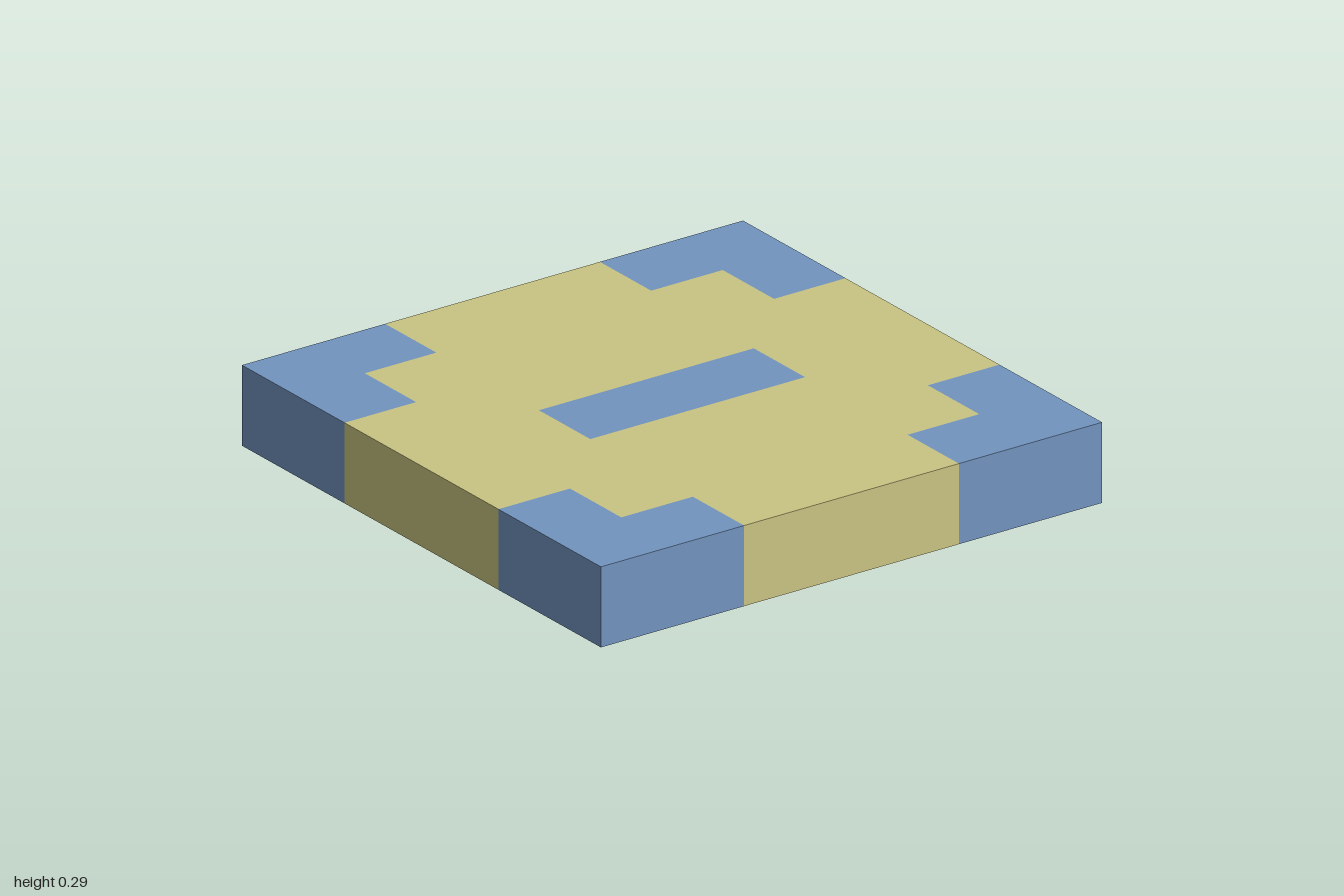
import * as THREE from 'three';

const U = 2 / 7; // the tile is a 7 x 7 grid of cells, one cell thick

export function createModel() {
  const model = new THREE.Group();
  model.name = 'patternedTile';

  const yellow = new THREE.MeshStandardMaterial({ color: 0xc9c382 });
  yellow.name = 'pale yellow';
  const blue = new THREE.MeshStandardMaterial({ color: 0x7294be });
  blue.name = 'soft blue';

  const points = (cells) => cells.map(([x, z]) => new THREE.Vector2(x * U, z * U));

  // Extrudes an outline given in grid cells into a slab standing on y = 0
  function slab(name, outline, material, hole) {
    const shape = new THREE.Shape(points(outline));
    if (hole) shape.holes.push(new THREE.Path(points(hole)));
    const geometry = new THREE.ExtrudeGeometry(shape, { depth: U, bevelEnabled: false });
    geometry.rotateX(-Math.PI / 2);
    const mesh = new THREE.Mesh(geometry, material);
    mesh.name = name;
    model.add(mesh);
  }

  // Central bar, set into a matching hole in the body
  const bar = [[-1.5, -0.5], [1.5, -0.5], [1.5, 0.5], [-1.5, 0.5]];
  slab('centreBar', bar, blue);

  // Stepped body: one corner's steps, turned four times
  const steps = [[3.5, 1.5], [2.5, 1.5], [2.5, 2.5], [1.5, 2.5], [1.5, 3.5]];
  const turn = ([x, z], n) => (n === 0 ? [x, z] : turn([-z, x], n - 1));
  const body = [0, 1, 2, 3].flatMap((n) => steps.map((p) => turn(p, n)));
  slab('body', body, yellow, bar);

  // L-shaped corner blocks filling the steps
  const corners = ['backLeft', 'backRight', 'frontRight', 'frontLeft'];
  corners.forEach((name, n) => {
    slab(name + 'Corner', [...steps, [3.5, 3.5]].map((p) => turn(p, n)), blue);
  });

  return model;
}
